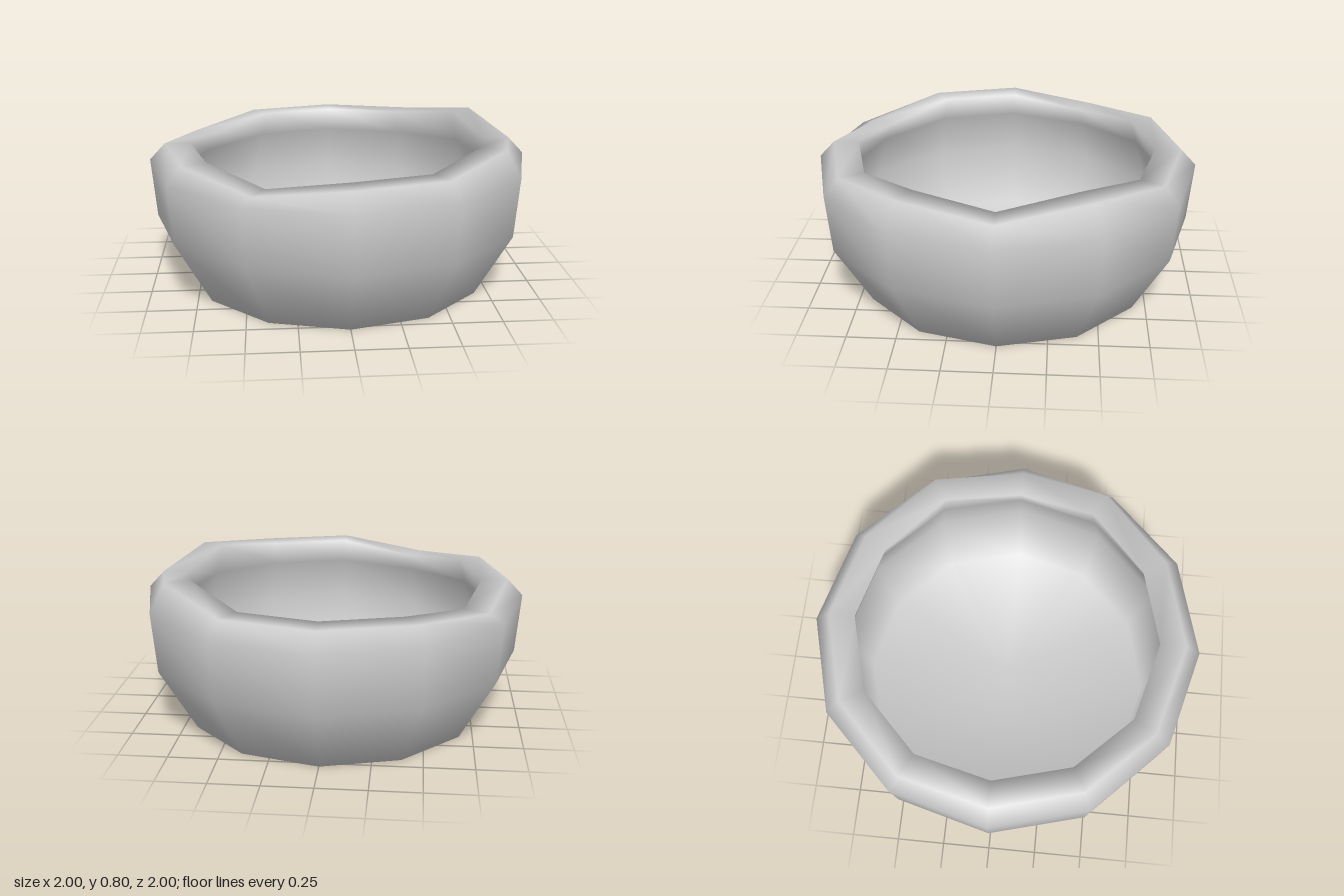
import * as THREE from 'three';
import { mergeVertices } from 'three/addons/utils/BufferGeometryUtils.js';

const SIDES = 12;

// Height changes of the uneven rim, by corner number counted from the front towards +x
const RIM_OFFSETS = { 2: 0.05, 4: 0.065, 8: -0.045, 11: -0.055 };

// Cross-section as [radius, height, share of the rim offset]
const PROFILE = [
  [0, 0, 0],
  [0.785, 0, 0],       // base edge
  [0.975, 0.34, 0],    // bulging wall
  [1.0, 0.65, 0],      // widest ring
  [0.92, 0.735, 1],    // outer rim edge
  [0.785, 0.735, 1],   // inner lip
  [0.83, 0.6, 0.3],    // hollow under the lip
  [0.9, 0.35, 0],      // inner wall
  [0.78, 0.03, 0],     // floor edge
  [0, 0.03, 0],
];

function makeBowlGeometry() {
  const points = PROFILE.map(([r, y]) => new THREE.Vector2(r, y));
  const lathe = new THREE.LatheGeometry(points, SIDES);

  // Raise or lower the rim corners
  const pos = lathe.attributes.position;
  for (let i = 0; i < pos.count; i++) {
    const corner = Math.floor(i / PROFILE.length) % SIDES;
    const share = PROFILE[i % PROFILE.length][2];
    pos.setY(i, pos.getY(i) + share * (RIM_OFFSETS[corner] ?? 0));
  }

  // Weld the seam and poles so the whole skin shades smoothly
  lathe.deleteAttribute('normal');
  lathe.deleteAttribute('uv');
  const welded = mergeVertices(lathe, 1e-4);
  welded.computeVertexNormals();
  return welded;
}

export function createModel() {
  const group = new THREE.Group();
  group.name = 'unevenBowl';
  const material = new THREE.MeshStandardMaterial({ color: 0xcccccc, side: THREE.DoubleSide });
  const bowl = new THREE.Mesh(makeBowlGeometry(), material);
  bowl.name = 'bowl';
  group.add(bowl);
  return group;
}
